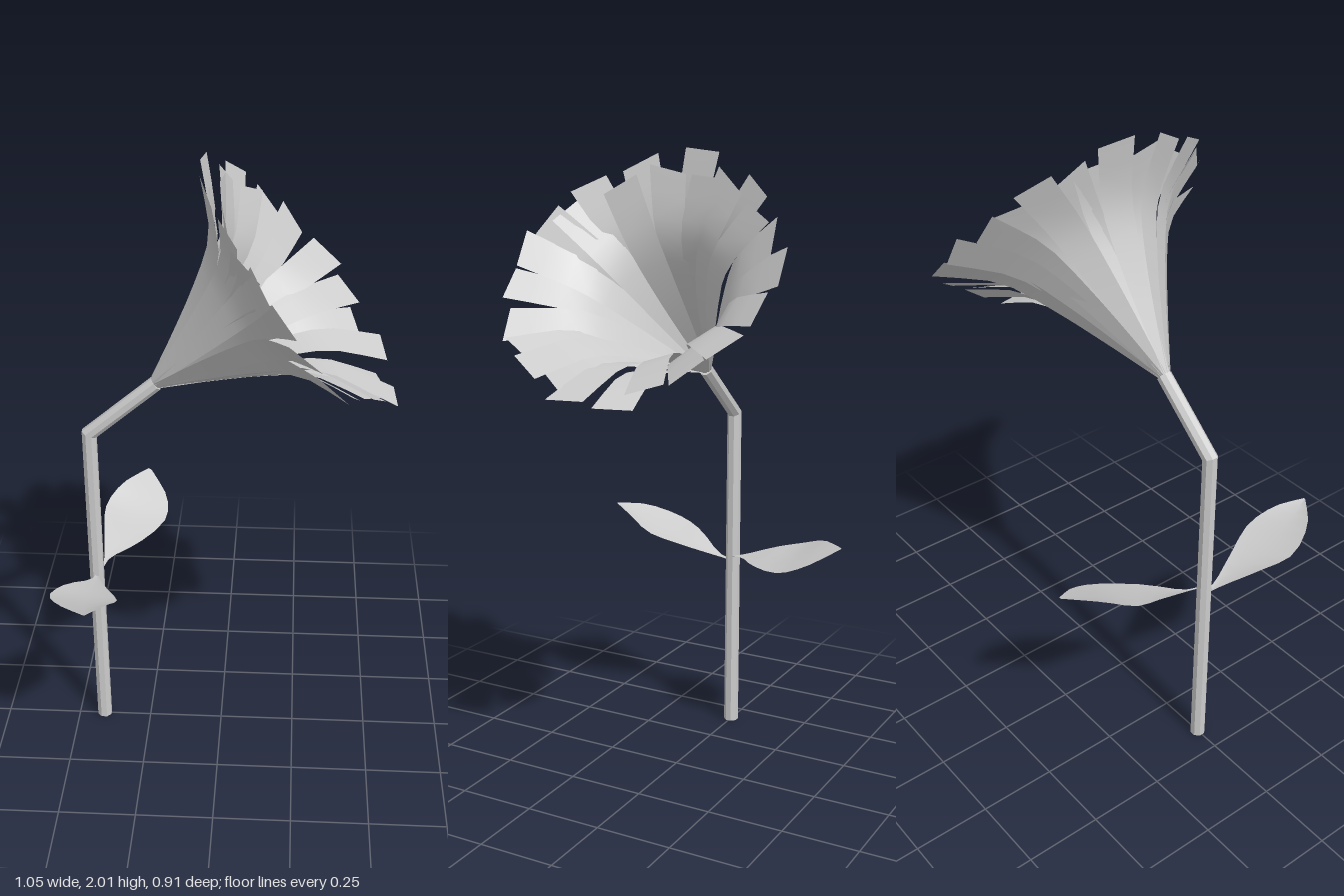
import * as THREE from 'three';

const V = (x, y, z) => new THREE.Vector3(x, y, z);

// Surface through rows of points, all rows having the same count
function loft(name, rows, flat = false) {
  const n = rows[0].length, index = [];
  for (let i = 0; i < rows.length - 1; i++) {
    for (let j = 0; j < n - 1; j++) {
      const a = i * n + j, b = a + n;
      index.push(a, b, a + 1, b, b + 1, a + 1);
    }
  }
  const geometry = new THREE.BufferGeometry().setFromPoints(rows.flat());
  geometry.setIndex(index);
  geometry.computeVertexNormals();
  const material = new THREE.MeshStandardMaterial({
    color: 0xcccccc, side: THREE.DoubleSide, flatShading: flat,
  });
  const mesh = new THREE.Mesh(geometry, material);
  mesh.name = name;
  return mesh;
}

// Bent octagonal stem: each section has a centre, a cross direction and a radius
function makeStem() {
  const sections = [
    [-0.412, 0, 1, 0, 0],
    [-0.412, 0, 1, 0, 0.025],
    [-0.414, 1.125, 1, -0.47, 0.024],
    [-0.2, 1.305, 0.64, -0.77, 0.024],
    [-0.2, 1.305, 0.64, -0.77, 0],
  ];
  const rows = sections.map(([x, y, ex, ey, r]) => {
    const ring = [];
    for (let k = 0; k <= 8; k++) {
      const t = (k + 0.5) * Math.PI / 4, c = Math.cos(t) * r;
      ring.push(V(x + ex * c, y + ey * c, Math.sin(t) * r));
    }
    return ring;
  });
  return loft('stem', rows, true);
}

// Leaf from left edge, midrib and right edge, smoothed lengthwise
function makeLeaf(name, left, mid, right) {
  const curves = [left, mid, right].map((pts) =>
    new THREE.CatmullRomCurve3(pts.map((p) => V(...p))));
  const rows = [];
  for (let i = 0; i <= 12; i++) rows.push(curves.map((c) => c.getPoint(i / 12)));
  return loft(name, rows);
}

// Trumpet of square-ended petals around a tilted axis, straight below and hooked at the rim
function makeBloom() {
  const bloom = new THREE.Group();
  bloom.name = 'bloom';
  const axis = V(0.77, 0.64, 0), up = V(-0.64, 0.77, 0), base = V(-0.205, 1.305, 0);
  // x is the share of the depth, y the share of the spread
  const profile = new THREE.CatmullRomCurve3([
    V(0, 0.035, 0), V(0.29, 0.2, 0), V(0.57, 0.385, 0), V(0.81, 0.6, 0), V(1, 1, 0),
  ]);
  // Angle around the axis in degrees, tip spread, tip depth
  const petals = [
    [-8, 0.44, 0.56], [7, 0.38, 0.54], [20, 0.42, 0.55], [31, 0.36, 0.55],
    [44, 0.42, 0.56], [58, 0.4, 0.55], [68, 0.42, 0.56], [83, 0.44, 0.56],
    [98, 0.45, 0.54], [117, 0.45, 0.53], [133, 0.43, 0.54], [146, 0.44, 0.57],
    [158, 0.42, 0.54], [171, 0.465, 0.57], [188, 0.455, 0.53], [203, 0.44, 0.58],
    [219, 0.41, 0.54], [236, 0.44, 0.57], [254, 0.45, 0.58], [274, 0.45, 0.56],
    [290, 0.41, 0.55], [305, 0.38, 0.55], [317, 0.42, 0.56], [331, 0.38, 0.55], [342, 0.36, 0.55],
  ];
  const steps = 10;
  petals.forEach(([degrees, spread, depth], i) => {
    const angle = degrees * Math.PI / 180;
    const out = up.clone().multiplyScalar(Math.cos(angle)).add(V(0, 0, Math.sin(angle)));
    const side = new THREE.Vector3().crossVectors(axis, out);
    // Neighbours overlap at slightly different heights, lower ones a little fuller
    const belly = 0.006 * (1 - Math.cos(angle)) + (i % 2 ? -0.01 : 0.006);
    const tilt = 0.2 * Math.sin(i * 2.3);
    const slant = 0.02 * Math.sin(i * 1.7);
    const rows = [];
    for (let s = 0; s <= steps; s++) {
      const t = s / steps, bulge = Math.sin(t * Math.PI);
      const half = 0.008 + 0.052 * t + 0.005 * bulge;
      rows.push([-1, 1].map((e) => {
        const p = profile.getPoint(t);
        const reach = 1 + e * slant * t;
        return base.clone()
          .addScaledVector(axis, p.x * depth * reach)
          .addScaledVector(out, p.y * spread * reach + belly * bulge + e * tilt * half)
          .addScaledVector(side, e * half);
      }));
    }
    bloom.add(loft('petal', rows));
  });
  return bloom;
}

export function createModel() {
  const model = new THREE.Group();
  model.name = 'flower';
  model.add(makeStem(), makeBloom());

  // Leaf on the front side
  model.add(makeLeaf('frontLeaf',
    [[-0.412, 0.6, 0.01], [-0.425, 0.612, 0.06], [-0.49, 0.665, 0.17], [-0.522, 0.695, 0.27], [-0.475, 0.735, 0.38], [-0.39, 0.752, 0.452]],
    [[-0.408, 0.595, 0.01], [-0.408, 0.608, 0.06], [-0.42, 0.64, 0.16], [-0.415, 0.675, 0.27], [-0.4, 0.718, 0.38], [-0.386, 0.752, 0.453]],
    [[-0.404, 0.6, 0.01], [-0.395, 0.61, 0.06], [-0.35, 0.645, 0.17], [-0.31, 0.685, 0.28], [-0.335, 0.73, 0.37], [-0.382, 0.752, 0.452]]));

  // Leaf on the back side, swung outward and rolled
  model.add(makeLeaf('backLeaf',
    [[-0.394, 0.62, -0.01], [-0.394, 0.63, -0.05], [-0.408, 0.672, -0.17], [-0.411, 0.7, -0.27], [-0.365, 0.733, -0.36], [-0.284, 0.742, -0.455]],
    [[-0.392, 0.617, -0.01], [-0.386, 0.624, -0.05], [-0.35, 0.645, -0.15], [-0.315, 0.67, -0.26], [-0.29, 0.705, -0.36], [-0.278, 0.74, -0.455]],
    [[-0.388, 0.62, -0.01], [-0.375, 0.624, -0.05], [-0.285, 0.632, -0.14], [-0.206, 0.65, -0.27], [-0.211, 0.685, -0.36], [-0.272, 0.738, -0.452]]));
  return model;
}
